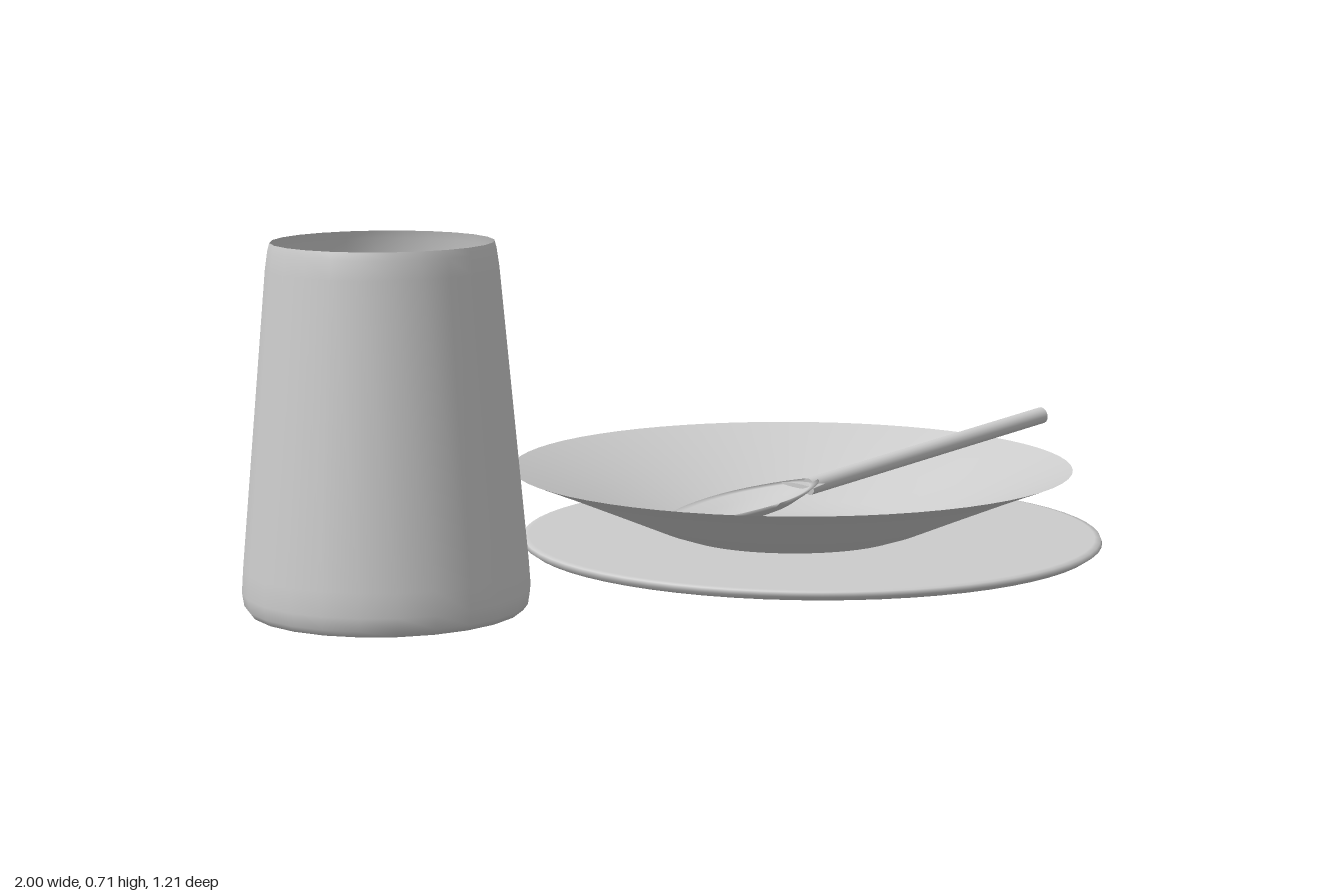
import * as THREE from 'three';

const material = new THREE.MeshStandardMaterial({ color: 0xcccccc, side: THREE.DoubleSide });

function add(parent, name, geometry) {
  const mesh = new THREE.Mesh(geometry, material);
  mesh.name = name;
  parent.add(mesh);
  return mesh;
}

// Smooth surface of revolution from [radius, height] pairs
function lathe(points, sides) {
  return new THREE.LatheGeometry(points.map(([r, y]) => new THREE.Vector2(r, y)), sides);
}

// Egg-shaped hollow scoop, narrowing towards the handle and tilted with it
function scoopGeometry() {
  const geometry = lathe([
    [0, -0.04], [0.35, -0.035], [0.65, -0.025], [0.88, -0.01], [1, 0],
    [0.86, -0.004], [0.63, -0.017], [0.33, -0.027], [0, -0.031],
  ], 40);
  const p = geometry.attributes.position;
  for (let i = 0; i < p.count; i++) {
    const u = p.getX(i);
    const taper = u > 0 ? 1 - 0.3 * u * u : 1;
    const x = 0.19 * u;
    const z = 0.11 * p.getZ(i) * taper;
    p.setXYZ(i, x, p.getY(i) + 0.125 * x + 0.08 * z, z);
  }
  geometry.computeVertexNormals();
  return geometry;
}

// Round rod between two points
function rod(from, to, radius) {
  const a = new THREE.Vector3(...from), b = new THREE.Vector3(...to);
  const dir = b.clone().sub(a);
  const geometry = new THREE.CylinderGeometry(radius, radius, dir.length(), 16);
  geometry.applyQuaternion(new THREE.Quaternion().setFromUnitVectors(
    new THREE.Vector3(0, 1, 0), dir.normalize()));
  const mid = a.add(b).multiplyScalar(0.5);
  return geometry.translate(mid.x, mid.y, mid.z);
}

export function createModel() {
  const model = new THREE.Group();
  model.name = 'tableSetting';

  // Open tapered cup with a thin wall
  const cup = add(model, 'cup', lathe([
    [0, 0.015], [0.235, 0.015], [0.258, 0.018], [0.267, 0.03], [0.271, 0.055],
    [0.268, 0.1], [0.217, 0.66], [0.212, 0.695], [0.208, 0.71],
  ], 24));
  cup.position.x = -0.73;

  // Flat plate with a rounded lower edge
  const plate = add(model, 'plate', lathe([
    [0, 0], [0.45, 0.002], [0.55, 0.007], [0.592, 0.013], [0.605, 0.022],
    [0.602, 0.031], [0.59, 0.033], [0, 0.033],
  ], 64));
  plate.position.x = 0.335;

  // Shallow flared dish resting off-centre on the plate
  const dish = add(model, 'dish', lathe([
    [0, 0.035], [0.19, 0.035], [0.235, 0.04], [0.28, 0.055],
    [0.4, 0.106], [0.5, 0.148], [0.58, 0.18],
  ], 64));
  dish.position.x = 0.28;

  // Spoon leaning on the dish rim
  const spoon = new THREE.Group();
  spoon.name = 'spoon';
  model.add(spoon);
  add(spoon, 'spoonScoop', scoopGeometry()).position.set(0.14, 0.125, 0.015);
  add(spoon, 'spoonNeck', new THREE.ConeGeometry(0.05, 0.1, 20)
    .scale(1, 1, 0.3).rotateX(Math.PI / 2).rotateY(Math.PI / 2)
    .rotateZ(0).scale(1, 0.3, 1)).position.set(0.33, 0.139, 0.019);
  add(spoon, 'spoonHandle', rod([0.31, 0.134, 0.02], [0.998, 0.217, 0.02], 0.018));

  return model;
}
